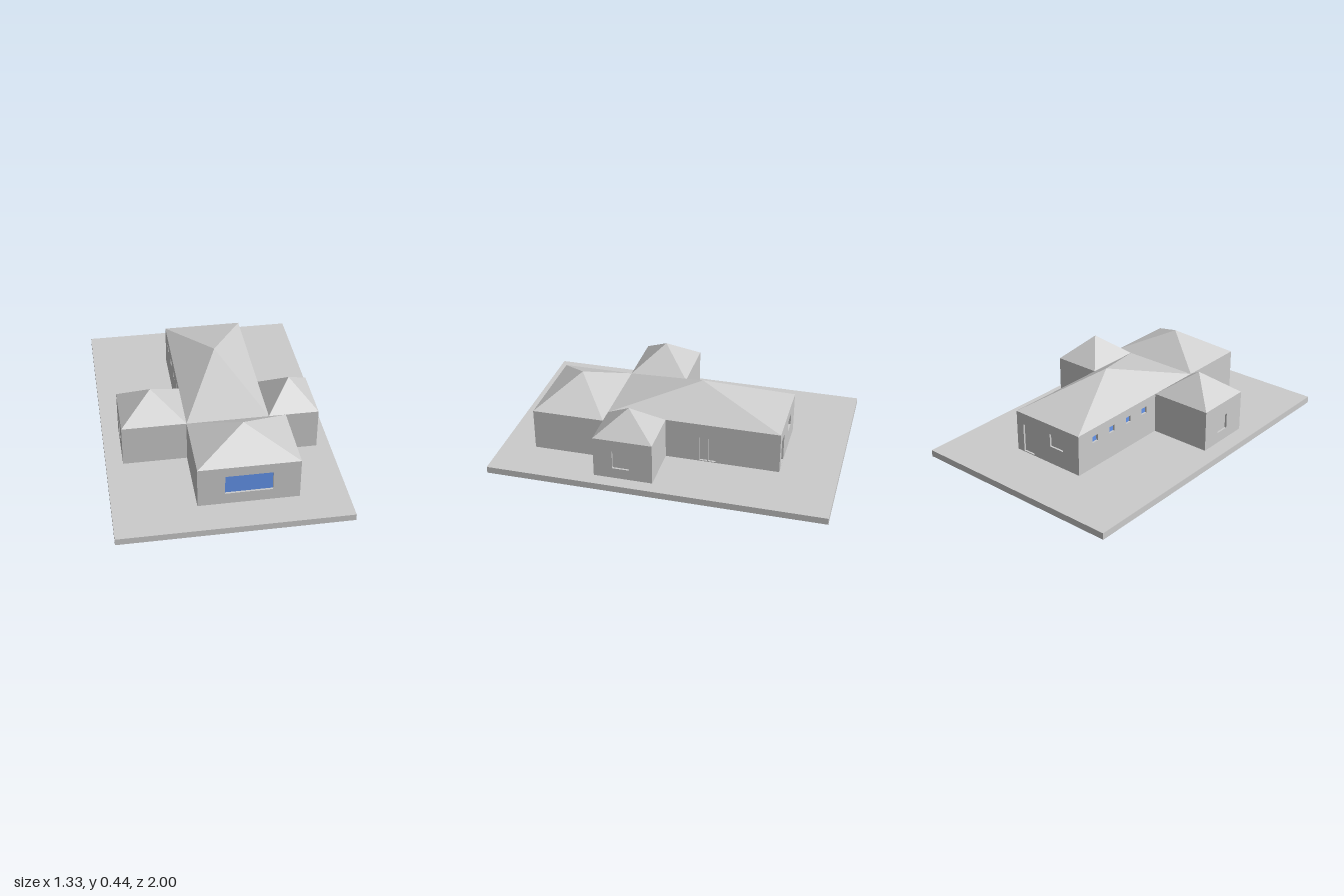
import * as THREE from 'three';

const GREY = 0xcccccc, BLUE = 0x6495ed;
const SLAB = 0.04, EAVE = 0.29, T = 0.012; // slab top, eave height, wall thickness

const material = (color) => new THREE.MeshStandardMaterial({ color, flatShading: true });
const grey = material(GREY), blue = material(BLUE);

function add(parent, name, geometry, mat = grey) {
  const mesh = new THREE.Mesh(geometry, mat);
  mesh.name = name;
  parent.add(mesh);
  return mesh;
}

function rect(path, x0, y0, x1, y1) {
  return path.moveTo(x0, y0).lineTo(x1, y0).lineTo(x1, y1).lineTo(x0, y1).closePath();
}

// Each side: turn about y, and the direction its local x runs along the world axis
const SIDES = {
  front: { turn: 0, axis: 'x', sign: 1 },
  back: { turn: Math.PI, axis: 'x', sign: -1 },
  left: { turn: Math.PI / 2, axis: 'z', sign: -1 },
  right: { turn: -Math.PI / 2, axis: 'z', sign: 1 },
};

// One wall with recessed openings, given as world range a0..a1 along the wall and y0..y1
function addWall(block, side, centre, length, distance, openings) {
  const { turn, axis, sign } = SIDES[side];
  const wall = new THREE.Group();
  wall.name = side + 'Wall';
  wall.rotation.y = turn;
  const shape = rect(new THREE.Shape(), -length / 2, SLAB, length / 2, EAVE);
  for (const { name, a0, a1, y0, y1, mat } of openings) {
    const u = [a0, a1].map((a) => sign * (a - centre[axis])).sort((p, q) => p - q);
    shape.holes.push(rect(new THREE.Path(), u[0], y0, u[1], y1));
    const pane = add(wall, name, new THREE.BoxGeometry(u[1] - u[0] + 0.004, y1 - y0 + 0.004, 0.004), mat);
    pane.position.set((u[0] + u[1]) / 2, (y0 + y1) / 2, distance - T - 0.002);
  }
  const panel = add(wall, 'wallPanel', new THREE.ExtrudeGeometry(shape, { depth: T, bevelEnabled: false }));
  panel.position.z = distance - T;
  block.add(wall);
}

// A rectangular block: floor, four walls and a pyramid roof
function addBlock(parent, { name, x, z, peak, openings = {} }) {
  const block = new THREE.Group();
  block.name = name;
  const w = x[1] - x[0], d = z[1] - z[0];
  const centre = { x: (x[0] + x[1]) / 2, z: (z[0] + z[1]) / 2 };
  block.position.set(centre.x, 0, centre.z);

  add(block, 'floor', new THREE.BoxGeometry(w, 0.004, d)).position.y = SLAB + 0.002;
  for (const side of Object.keys(SIDES)) {
    const facesZ = SIDES[side].axis === 'x';
    addWall(block, side, centre, facesZ ? w : d, (facesZ ? d : w) / 2, openings[side] || []);
  }
  const roof = new THREE.ConeGeometry(Math.SQRT1_2, peak - EAVE, 4)
    .rotateY(Math.PI / 4).scale(w, 1, d).toNonIndexed();
  roof.computeVertexNormals();
  add(block, 'roof', roof).position.y = (EAVE + peak) / 2;
  parent.add(block);
}

export function createModel() {
  const model = new THREE.Group();
  model.name = 'house';

  // Ground slab, cut out under the house
  const ground = rect(new THREE.Shape(), -0.665, -1, 0.665, 1);
  const footprint = [
    [-0.19, -0.66], [0.29, -0.66], [0.29, 0.02], [0.585, 0.02], [0.585, 0.37], [0.39, 0.37],
    [0.39, 0.8], [-0.19, 0.8], [-0.19, 0.37], [-0.565, 0.37], [-0.565, 0.02], [-0.19, 0.02],
  ];
  ground.holes.push(new THREE.Path(footprint.map(([x, z]) => new THREE.Vector2(x, -z))));
  add(model, 'groundSlab',
    new THREE.ExtrudeGeometry(ground, { depth: SLAB, bevelEnabled: false }).rotateX(-Math.PI / 2));

  // Main hall with a row of small windows, doors and a back window
  const smallWindows = [-0.52, -0.375, -0.23, -0.085].map((c) => (
    { name: 'smallWindow', a0: c - 0.022, a1: c + 0.022, y0: 0.2, y1: 0.24, mat: blue }));
  addBlock(model, {
    name: 'mainHall', x: [-0.19, 0.29], z: [-0.66, 0.37], peak: 0.445,
    openings: {
      right: smallWindows,
      left: [
        { name: 'doorLeaf', a0: -0.282, a1: -0.236, y0: 0.045, y1: 0.2 },
        { name: 'doorLeaf', a0: -0.23, a1: -0.184, y0: 0.045, y1: 0.2 },
      ],
      back: [
        { name: 'backDoor', a0: 0.16, a1: 0.24, y0: 0.045, y1: 0.22 },
        { name: 'backWindow', a0: -0.07, a1: 0.03, y0: 0.15, y1: 0.23 },
      ],
    },
  });

  // Front room with the wide blue window
  addBlock(model, {
    name: 'frontRoom', x: [-0.19, 0.39], z: [0.37, 0.8], peak: 0.43,
    openings: { front: [{ name: 'wideWindow', a0: -0.035, a1: 0.235, y0: 0.11, y1: 0.23, mat: blue }] },
  });

  // Side wings
  addBlock(model, {
    name: 'leftWing', x: [0.29, 0.585], z: [0.02, 0.37], peak: 0.43,
    openings: { left: [{ name: 'wingWindow', a0: 0.155, a1: 0.257, y0: 0.105, y1: 0.22 }] },
  });
  addBlock(model, {
    name: 'rightWing', x: [-0.565, -0.19], z: [0.02, 0.37], peak: 0.43,
    openings: { right: [{ name: 'wingWindow', a0: 0.14, a1: 0.23, y0: 0.105, y1: 0.2 }] },
  });

  return model;
}
